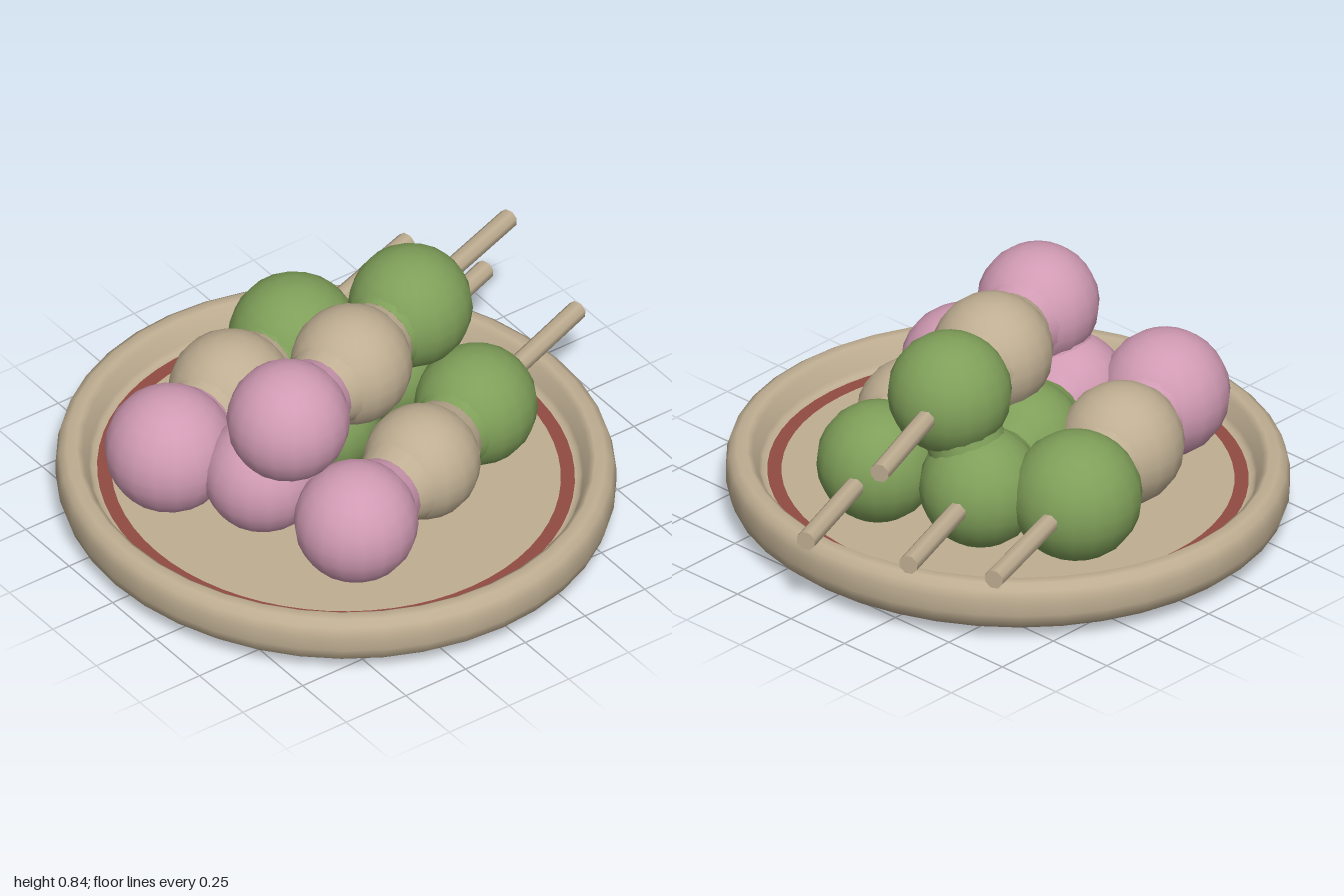
import * as THREE from 'three';

const mat = (name, color) => {
  const m = new THREE.MeshStandardMaterial({ color });
  m.name = name;
  return m;
};

export function createModel() {
  const group = new THREE.Group();
  const cream = mat('cream', 0xbfae92);
  const pink = mat('pink', 0xd09ab3);
  const green = mat('green', 0x7f9f59);
  const red = mat('dark red', 0x914b43);
  const V = (x, y, z) => new THREE.Vector3(x, y, z);
  const UP = V(0, 1, 0);

  const add = (parent, name, geometry, material) => {
    const mesh = new THREE.Mesh(geometry, material);
    mesh.name = name;
    parent.add(mesh);
    return mesh;
  };

  // Tapered rod between two points
  const rod = (parent, name, a, b, ra, rb, sides, material) => {
    const dir = b.clone().sub(a);
    const mesh = add(parent, name, new THREE.CylinderGeometry(rb, ra, dir.length(), sides), material);
    mesh.position.copy(a).lerp(b, 0.5);
    mesh.quaternion.setFromUnitVectors(UP, dir.normalize());
    return mesh;
  };

  // Plate: rounded rim around a sunken floor, slightly oval
  const plate = new THREE.Group();
  plate.name = 'plate';
  plate.position.x = -0.065;
  plate.scale.z = 1.043;
  group.add(plate);
  const profile = [
    [0, 0], [0.6, 0.012], [0.84, 0.03], [0.89, 0.042], [0.922, 0.07], [0.935, 0.11],
    [0.935, 0.165], [0.925, 0.2], [0.9, 0.218], [0.865, 0.22], [0.845, 0.205],
    [0.825, 0.15], [0.815, 0.135], [0.8, 0.13], [0.78, 0.13], [0, 0.13],
  ].map(([r, y]) => new THREE.Vector2(r, y));
  add(plate, 'dish', new THREE.LatheGeometry(profile, 40), cream);

  // Painted band on the floor
  const band = add(plate, 'paintedRing', new THREE.RingGeometry(0.75, 0.797, 64), red);
  band.rotation.x = -Math.PI / 2;
  band.position.y = 0.134;

  // Skewers: three dumplings each, listed as [x, y, z, radius, material], then the stick tip
  const skewers = {
    backSkewer: {
      balls: [[-0.59, 0.33, -0.235, 0.222, pink], [-0.235, 0.325, -0.37, 0.215, cream], [0.12, 0.315, -0.495, 0.226, green]],
      tip: V(0.74, 0.315, -0.7),
    },
    middleSkewer: {
      balls: [[-0.4, 0.31, 0.04, 0.205, pink], [-0.06, 0.31, -0.085, 0.2, green], [0.29, 0.31, -0.21, 0.21, green]],
      tip: V(0.865, 0.315, -0.42),
    },
    frontSkewer: {
      balls: [[-0.295, 0.3, 0.432, 0.212, pink], [0.075, 0.305, 0.302, 0.2, cream], [0.405, 0.312, 0.16, 0.21, green]],
      tip: V(0.985, 0.315, -0.055),
    },
    topSkewer: {
      balls: [[-0.385, 0.605, 0.165, 0.21, pink], [-0.03, 0.605, 0.04, 0.208, cream], [0.305, 0.63, -0.08, 0.212, green]],
      tip: V(0.865, 0.618, -0.285),
    },
  };

  for (const [name, { balls, tip }] of Object.entries(skewers)) {
    const skewer = new THREE.Group();
    skewer.name = name;
    group.add(skewer);
    const centres = balls.map(([x, y, z]) => V(x, y, z));
    balls.forEach(([, , , r, material], i) => {
      const ball = add(skewer, 'dumpling', new THREE.SphereGeometry(r, 18, 12), material);
      ball.position.copy(centres[i]);
      ball.rotation.y = 0.36;
      // Soft necks reaching half way to the neighbouring dumplings
      for (const j of [i - 1, i + 1]) {
        if (!centres[j]) continue;
        const start = centres[i].clone().lerp(centres[j], 0.36);
        const end = centres[i].clone().lerp(centres[j], 0.5);
        rod(skewer, 'neck', start, end, 0.152, 0.13, 16, material);
      }
    });
    rod(skewer, 'stick', centres[2], tip, 0.035, 0.035, 8, cream);
  }

  // Sticky joins between the top skewer and the one beneath it
  const join = (i, material) => {
    const a = skewers.topSkewer.balls[i], b = skewers.middleSkewer.balls[i];
    rod(group, 'stickyJoin', V(a[0], a[1], a[2]), V(b[0], b[1], b[2]), 0.135, 0.135, 16, material);
  };
  join(0, pink);
  join(2, green);

  return group;
}
